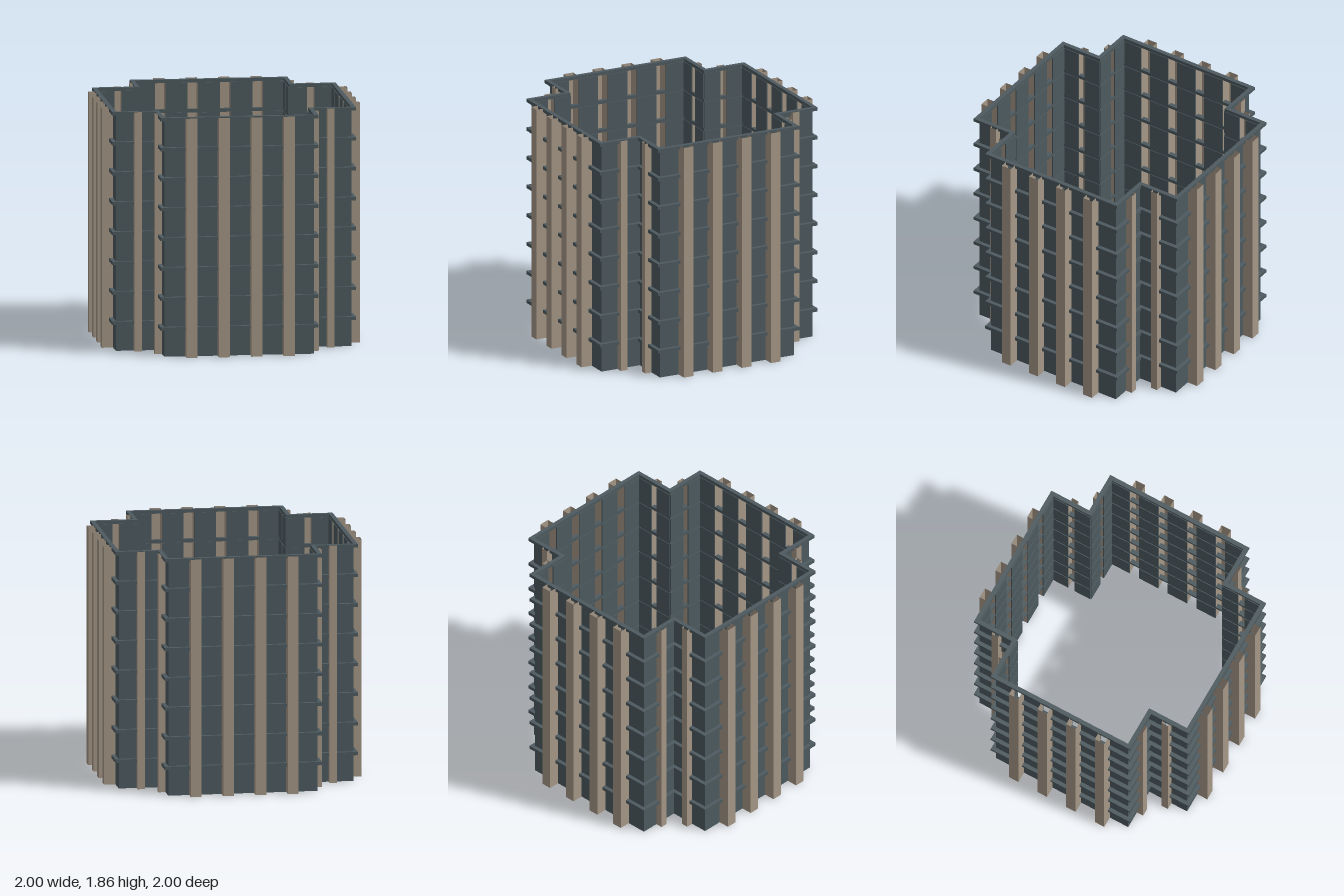
import * as THREE from 'three';

const H = 1.86, FLOORS = 8, STOREY = H / FLOORS, BAND = 0.026;
const FAR = 0.912, NEAR = 0.58, SKIN = 0.008;

// Cross-shaped outline: long arms reach "far", notches sit at "near"
function crossPoints(far, near) {
  const quarter = [[near, far], [near, near], [far, near]];
  const pts = [];
  for (let i = 0; i < 4; i++) {
    for (const [x, y] of quarter) {
      let p = [x, y];
      for (let k = 0; k < i; k++) p = [p[1], -p[0]];
      pts.push(new THREE.Vector2(p[0], p[1]));
    }
  }
  return pts;
}

// Hollow three-sided pier, open at the back, top and bottom
function pierGeometry(width, depth) {
  const w = width / 2;
  const section = [[-w, 0], [-w, depth], [w, depth], [w, 0]];
  const pos = [];
  for (let i = 0; i < 3; i++) {
    const [ax, az] = section[i], [bx, bz] = section[i + 1];
    pos.push(ax, 0, az, bx, 0, bz, bx, H, bz);
    pos.push(ax, 0, az, bx, H, bz, ax, H, az);
  }
  const g = new THREE.BufferGeometry();
  g.setAttribute('position', new THREE.Float32BufferAttribute(pos, 3));
  g.computeVertexNormals();
  return g;
}

export function createModel() {
  const model = new THREE.Group();
  model.name = 'towerSection';
  const slate = new THREE.MeshStandardMaterial({ color: 0x4d5a5f });
  slate.name = 'slate panel';
  const stone = new THREE.MeshStandardMaterial({ color: 0xa59786, side: THREE.DoubleSide });
  stone.name = 'tan stone';

  const add = (parent, name, geo, mat, x, y, z) => {
    const m = new THREE.Mesh(geo, mat);
    m.name = name;
    m.position.set(x, y, z);
    parent.add(m);
  };

  // A wall facing its own +z: piers with panels between them on every storey
  function wall(name, x, z, angle, width, centres, pierWidth, depth) {
    const g = new THREE.Group();
    g.name = name;
    g.position.set(x, 0, z);
    g.rotation.y = angle;
    const pier = pierGeometry(pierWidth, depth);
    let start = -width / 2;
    for (const c of [...centres, null]) {
      const end = c === null ? width / 2 : c - pierWidth / 2;
      const panel = new THREE.BoxGeometry(end - start, STOREY - BAND, SKIN);
      for (let f = 0; f < FLOORS; f++) {
        add(g, 'wallPanel', panel, slate, (start + end) / 2, f * STOREY + (STOREY - BAND) / 2, -SKIN / 2);
      }
      if (c !== null) {
        add(g, 'pier', pier, stone, c, 0, 0);
        start = c + pierWidth / 2;
      }
    }
    return g;
  }

  // Four quarters: one wide wall and the two walls of a notch
  const mid = (FAR + NEAR) / 2, notch = FAR - NEAR;
  for (let i = 0; i < 4; i++) {
    const side = new THREE.Group();
    side.name = 'side' + (i + 1);
    side.rotation.y = i * Math.PI / 2;
    side.add(
      wall('wideWall', 0, FAR, 0, 2 * NEAR, [-0.377, -0.126, 0.126, 0.377], 0.083, 1 - FAR),
      wall('notchWallFront', mid, NEAR, 0, notch, [0], 0.056, 0.055),
      wall('notchWallSide', NEAR, mid, Math.PI / 2, notch, [0], 0.056, 0.055)
    );
    model.add(side);
  }

  // Floor bands, a cross-shaped ring at the top of each storey (outline and hole wind opposite ways)
  const ring = new THREE.Shape(crossPoints(FAR + 0.031, NEAR + 0.031).reverse());
  ring.holes.push(new THREE.Path(crossPoints(FAR - 0.003, NEAR - 0.003)));
  const bandGeo = new THREE.ExtrudeGeometry(ring, { depth: BAND, bevelEnabled: false });
  bandGeo.rotateX(-Math.PI / 2);
  for (let f = 1; f <= FLOORS; f++) {
    add(model, 'floorBand', bandGeo, slate, 0, f * STOREY - BAND, 0);
  }
  return model;
}
